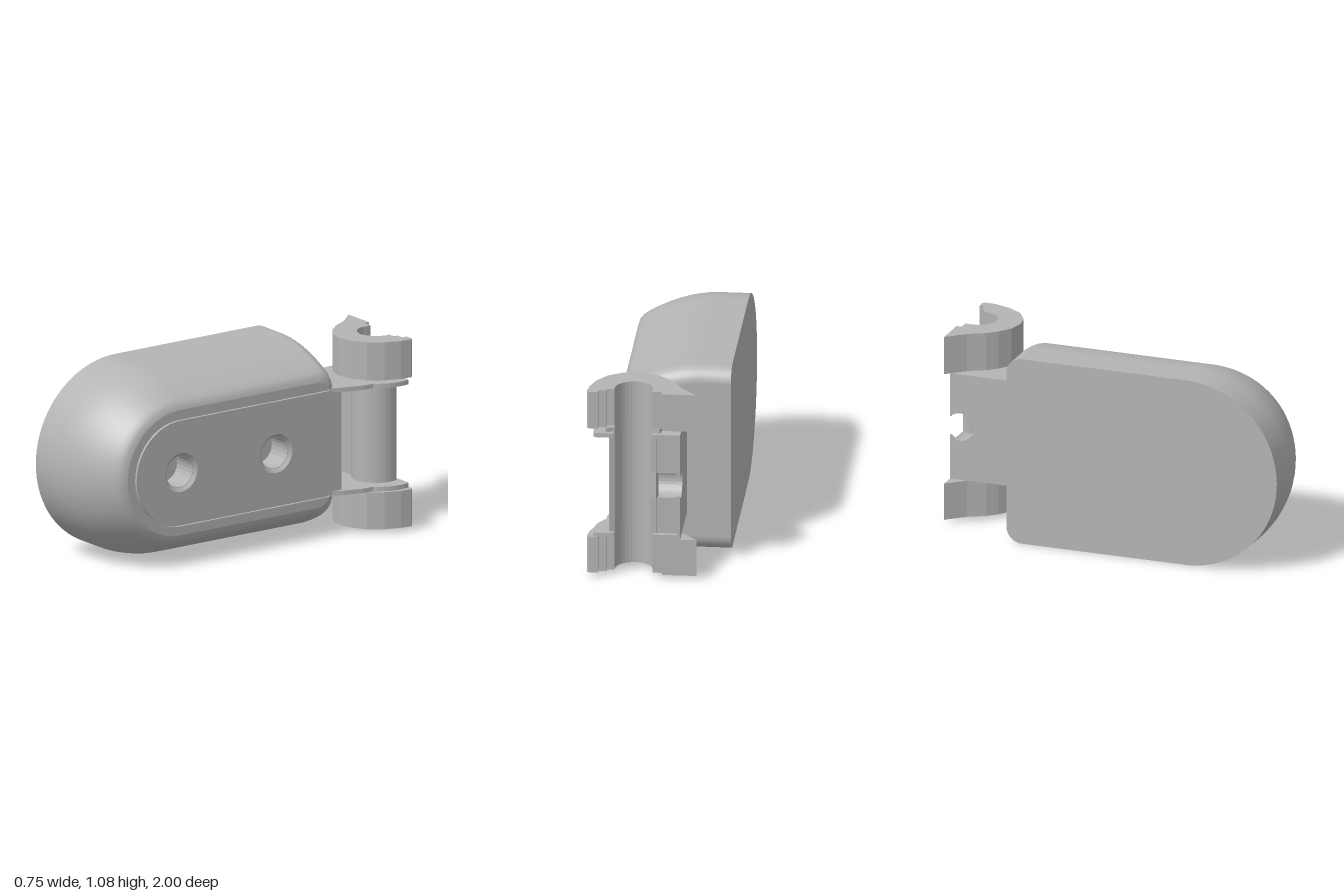
import * as THREE from 'three';

const MID = 0.5375; // mid height of the body
const BORE = [0.12, 0.93]; // hinge axis as x, -z

// Points on a circular arc, angles in degrees
function arc(cx, cy, r, a0, a1, n) {
  const pts = [];
  for (let i = 0; i <= n; i++) {
    const a = THREE.MathUtils.degToRad(a0 + (a1 - a0) * i / n);
    pts.push(new THREE.Vector2(cx + r * Math.cos(a), cy + r * Math.sin(a)));
  }
  return pts;
}
const pt = (x, y) => new THREE.Vector2(x, y);

// Extrude an outline drawn as (-z, y) from x0 to x1
function alongX(shape, x0, x1) {
  const g = new THREE.ExtrudeGeometry(shape, { depth: x1 - x0, bevelEnabled: false, curveSegments: 16 });
  return g.rotateY(Math.PI / 2).translate(x0, 0, 0);
}
// Extrude an outline drawn as (x, -z) from y0 to y1
function alongY(shape, y0, y1) {
  const g = new THREE.ExtrudeGeometry(shape, { depth: y1 - y0, bevelEnabled: false });
  return g.rotateX(-Math.PI / 2).translate(0, y0, 0);
}

// Body section: round front, small back corners; d insets sides and front, e the back
function bodyOutline(d, e) {
  const R = 0.535 - d, r = 0.09, back = 0.58 - e - r;
  return [
    ...arc(back, MID - R + r, r, -90, 0, 8),
    ...arc(back, MID + R - r, r, 0, 90, 8),
    ...arc(-0.465, MID, R, 90, 270, 40),
  ];
}

// Plate outline with one round end
function stadium(R, end) {
  return [pt(end, MID - R), pt(end, MID + R), ...arc(-0.465, MID, R, 90, 270, 28)];
}

const HOLES = [-0.46, 0.18];
function drilledPlate(R, end, holeR) {
  const s = new THREE.Shape(stadium(R, end));
  for (const u of HOLES) s.holes.push(new THREE.Path(arc(u, MID, holeR, 0, -345, 23)));
  return s;
}

// Loft of body sections toward the rounded side
function bodyShell() {
  const rings = [[-0.38, 0, 0], [-0.2, 0, 0], [-0.15, 0.003, 0], [-0.1, 0.01, 0], [-0.05, 0.02, 0],
    [0, 0.035, 0], [0.05, 0.053, 0], [0.1, 0.075, 0], [0.14, 0.095, 0], [0.175, 0.115, 0.001],
    [0.2, 0.133, 0.005], [0.217, 0.153, 0.014], [0.225, 0.18, 0.03]];
  const pos = [], index = [];
  let n = 0;
  rings.forEach(([x, d, e], i) => {
    const loop = bodyOutline(d, e);
    n = loop.length;
    loop.forEach((p, j) => {
      pos.push(x, p.y, -p.x);
      if (i === 0) return;
      const a = (i - 1) * n + j, b = (i - 1) * n + (j + 1) % n;
      index.push(a, b, b + n, a, b + n, a + n);
    });
  });
  const g = new THREE.BufferGeometry();
  g.setAttribute('position', new THREE.Float32BufferAttribute(pos, 3));
  g.setIndex(index);
  g.computeVertexNormals();
  return g;
}

// Wall with a round channel cut into its rear edge
function notchedWall(u0, u1, x0, x1) {
  const a = THREE.MathUtils.radToDeg(Math.acos((u1 - 0.94) / 0.08));
  const s = new THREE.Shape([pt(u0, 0.24), pt(u1, 0.24),
    ...arc(0.94, 0.54, 0.08, -a, a - 360, 18), pt(u1, 0.84), pt(u0, 0.84)]);
  return alongX(s, x0, x1);
}

export function createModel() {
  const model = new THREE.Group();
  const grey = new THREE.MeshStandardMaterial({ color: 0xb4b4b4, side: THREE.DoubleSide });
  grey.name = 'plain grey';
  const add = (name, geometry, parent = model) => {
    const m = new THREE.Mesh(geometry, grey);
    m.name = name;
    parent.add(m);
    return m;
  };

  // Body: shell, flat side and the rim around the recessed plate
  const body = new THREE.Group();
  body.name = 'body';
  model.add(body);
  add('bodyShell', bodyShell(), body);
  const flat = new THREE.Shape(bodyOutline(0, 0).map(p => pt(-p.x, p.y)));
  add('flatSide', new THREE.ShapeGeometry(flat).rotateY(-Math.PI / 2).translate(-0.38, 0, 0), body);
  const rim = new THREE.Shape(bodyOutline(0.18, 0.03));
  rim.holes.push(new THREE.Path(stadium(0.305, 0.54).reverse()));
  add('plateRim', alongX(rim, 0.205, 0.225), body);

  // Side plate with two countersunk blind holes
  const plate = new THREE.Group();
  plate.name = 'sidePlate';
  model.add(plate);
  add('plateBase', alongX(drilledPlate(0.305, 0.615, 0.088), 0.06, 0.21), plate);
  add('plateFace', alongX(drilledPlate(0.295, 0.62, 0.11), 0.21, 0.226), plate);
  for (const u of HOLES) {
    const cone = new THREE.CylinderGeometry(0.088, 0.11, 0.018, 24, 1, true);
    add('countersink', cone.rotateZ(Math.PI / 2).translate(0.217, MID, -u), plate);
    const floor = new THREE.CircleGeometry(0.09, 24);
    add('holeFloor', floor.rotateY(Math.PI / 2).translate(0.065, MID, -u), plate);
  }

  // Hinge bracket: outer wall, channelled block and two flanges
  const bracket = new THREE.Group();
  bracket.name = 'hingeBracket';
  model.add(bracket);
  add('bracketWall', notchedWall(0.56, 1, -0.14, -0.12), bracket);
  add('channelBlock', notchedWall(0.84, 0.975, -0.12, 0.02), bracket);
  const bore = () => arc(...BORE, 0.105, 8, -188, 18);
  const flange = new THREE.Shape([
    pt(-0.14, 0.55), pt(0.222, 0.55), pt(0.25, 0.62), pt(0.28, 0.73),
    ...arc(0.12, 0.94, 0.22, -42, 15, 7), pt(0.32, 1), pt(0.225, 1),
    ...bore(), pt(0.015, 1), pt(-0.14, 1)]);
  add('upperFlange', alongY(flange, 0.82, 0.845), bracket);
  add('lowerFlange', alongY(flange, 0.235, 0.26), bracket);

  // Half open tube along the hinge axis, with a spacer below the upper knuckle
  const halfRing = R => new THREE.Shape([
    ...arc(...BORE, R, -200, 20, 20), ...arc(...BORE, 0.105, 20, -200, 20)]);
  add('hingeTube', alongY(halfRing(0.135), 0.24, 0.86));
  add('spacer', alongY(halfRing(0.155), 0.845, 0.87));

  // Knuckles: faceted half rings with a flared wing and stepped rear edges
  const knuckle = new THREE.Shape([
    pt(-0.23, 1), pt(-0.14, 0.9), pt(-0.09, 0.81), pt(-0.04, 0.755), pt(0.03, 0.705),
    pt(0.12, 0.685), pt(0.2, 0.7), pt(0.28, 0.75), pt(0.335, 0.83), pt(0.365, 0.92),
    pt(0.372, 0.985), pt(0.36, 1), pt(0.31, 1), pt(0.31, 0.97), pt(0.265, 0.97), pt(0.265, 0.945),
    ...bore(), pt(0.015, 0.97), pt(-0.04, 0.97), pt(-0.04, 1)]);
  add('upperKnuckle', alongY(knuckle, 0.87, 1.085));
  add('lowerKnuckle', alongY(knuckle, 0.025, 0.235));

  return model;
}
